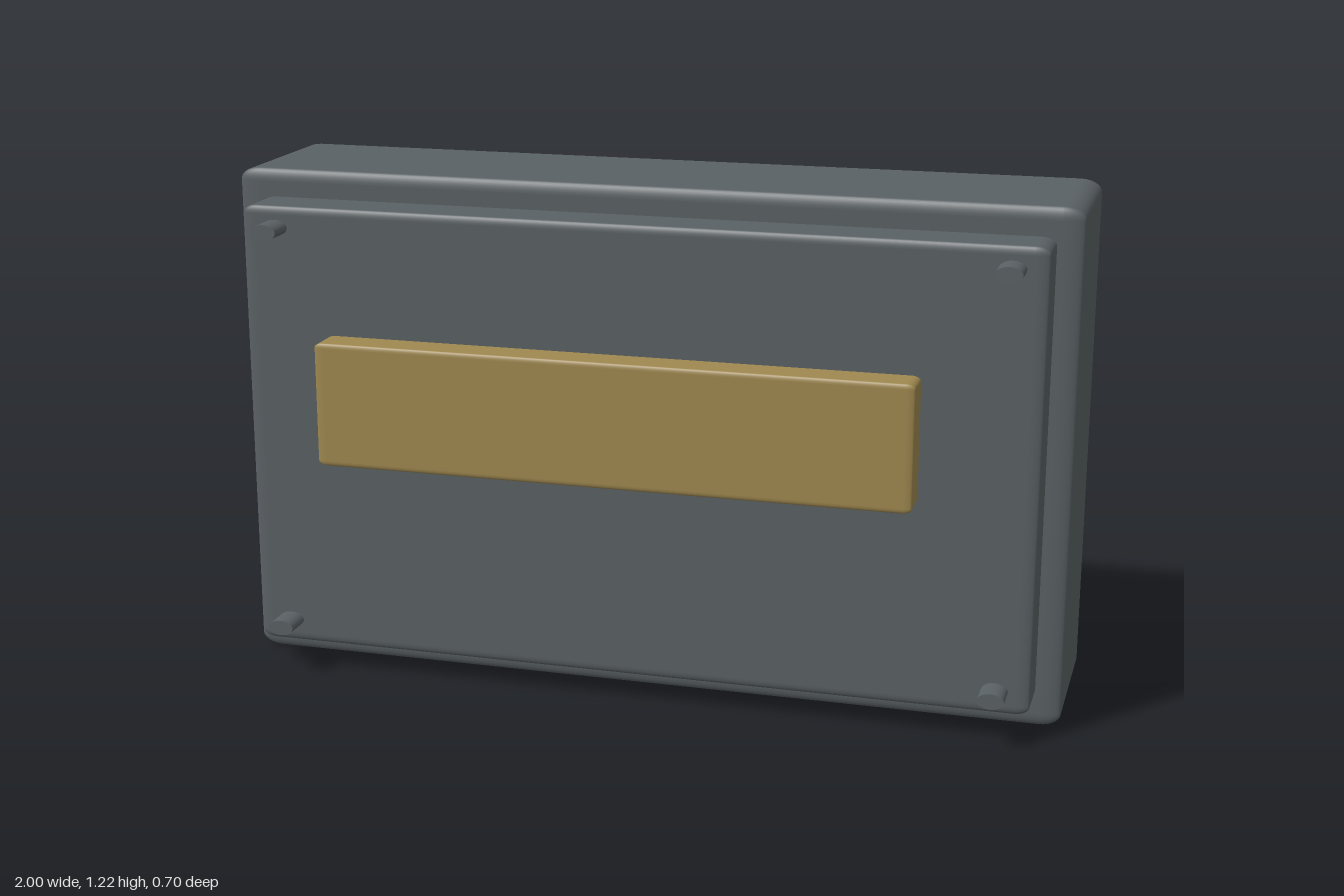
import * as THREE from 'three';
import { RoundedBoxGeometry } from 'three/addons/geometries/RoundedBoxGeometry.js';

const SQUASH = new THREE.Vector3(1, 0.6, 0.28); // corner radii are stretched along x

// Rounded box given by its limits, with radius r along x and squashed radii along y and z
function roundedBox(name, material, [x0, x1], [y0, y1], [z0, z1], r) {
  const geometry = new RoundedBoxGeometry(
    (x1 - x0) / SQUASH.x, (y1 - y0) / SQUASH.y, (z1 - z0) / SQUASH.z, 4, r);
  geometry.scale(SQUASH.x, SQUASH.y, SQUASH.z);
  const mesh = new THREE.Mesh(geometry, material);
  mesh.name = name;
  mesh.position.set((x0 + x1) / 2, (y0 + y1) / 2, (z0 + z1) / 2);
  return mesh;
}

export function createModel() {
  const model = new THREE.Group();
  model.name = 'enclosure';

  const slate = new THREE.MeshStandardMaterial({ color: 0x5a6164 });
  slate.name = 'slate grey';
  const brass = new THREE.MeshStandardMaterial({ color: 0x9f8850 });
  brass.name = 'brass';

  // Case, raised cover and the label plate standing off in front of it
  model.add(
    roundedBox('case', slate, [-1, 1], [0, 1.215], [-0.35, 0.043], 0.05),
    roundedBox('cover', slate, [-0.94, 0.94], [0.07, 1.148], [0.03, 0.16], 0.033),
    roundedBox('labelPlate', brass, [-0.688, 0.688], [0.587, 0.876], [0.268, 0.352], 0.02),
  );

  // Oval screws at the four corners of the cover
  const screwGeometry = new THREE.CylinderGeometry(0.031, 0.031, 0.08, 24);
  screwGeometry.rotateX(Math.PI / 2).scale(1, 0.6, 1);
  for (const x of [-0.86, 0.86]) {
    for (const y of [0.124, 1.097]) {
      const screw = new THREE.Mesh(screwGeometry, slate);
      screw.name = `${y > 0.6 ? 'upper' : 'lower'}${x > 0 ? 'Left' : 'Right'}Screw`;
      screw.position.set(x, y, 0.188);
      model.add(screw);
    }
  }
  return model;
}
